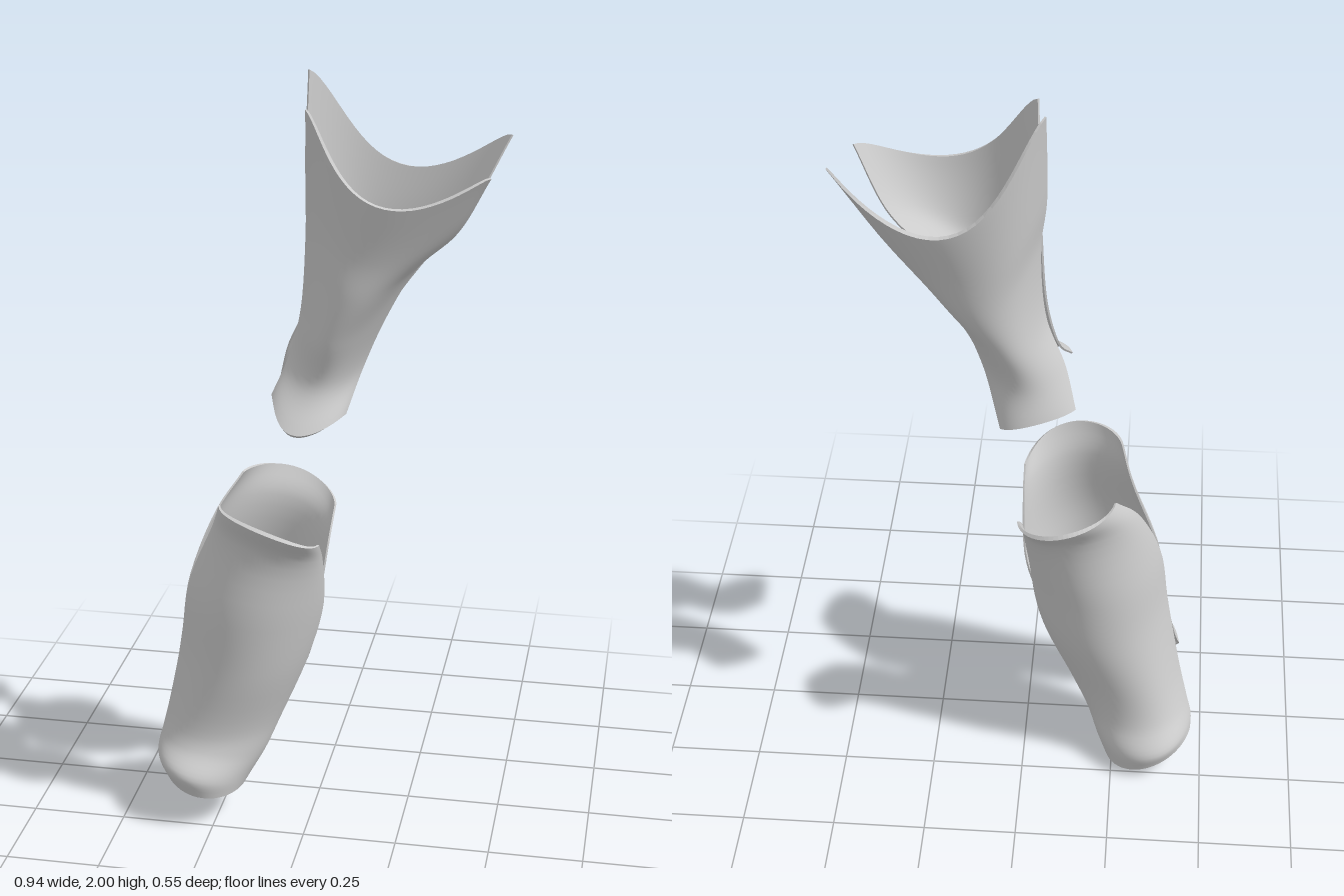
import * as THREE from 'three';
import { mergeGeometries } from 'three/addons/utils/BufferGeometryUtils.js';

const ROWS = 36, COLS = 28, THICK = 0.012;

// Indexed grid surface, rows run downwards and columns run left to right
function gridGeometry(points, flip) {
  const index = [];
  const w = COLS + 1;
  for (let i = 0; i < ROWS; i++) {
    for (let j = 0; j < COLS; j++) {
      const a = i * w + j, b = a + w, c = b + 1, d = a + 1;
      if (flip) index.push(a, c, b, a, d, c);
      else index.push(a, b, c, a, c, d);
    }
  }
  const g = new THREE.BufferGeometry().setFromPoints(points);
  g.setIndex(index);
  g.computeVertexNormals();
  return g;
}

// Curved shell lofted through levels of [left edge, middle, right edge];
// flatness 0 gives elliptic sections, 1 gives sections with sloping sides
function plateGeometry(levels, isBack, flatness) {
  const rails = [0, 1, 2].map(k => new THREE.CatmullRomCurve3(
    levels.map(l => new THREE.Vector3(l[k * 3], l[k * 3 + 1], l[k * 3 + 2]))));
  const outer = [];
  for (let i = 0; i <= ROWS; i++) {
    let [L, M, R] = rails.map(r => r.getPoint(i / ROWS));
    if (isBack) [L, R] = [R, L];
    const bulge = M.clone().sub(L.clone().add(R).multiplyScalar(0.5));
    for (let j = 0; j <= COLS; j++) {
      const t = j / COLS, a = Math.PI * t, s = Math.max(0, Math.sin(a));
      const p = L.clone().lerp(R, THREE.MathUtils.lerp((1 - Math.cos(a)) / 2, t, flatness));
      p.x += bulge.x * s * s;
      p.y += bulge.y * s ** 1.5;
      p.z += bulge.z * s;
      outer.push(p);
    }
  }
  const outside = gridGeometry(outer, false);
  const n = outside.attributes.normal;
  // Inner skin, thinner towards the side edges
  const inner = outer.map((p, k) => {
    const s = Math.sin(Math.PI * (k % (COLS + 1)) / COLS);
    return p.clone().addScaledVector(
      new THREE.Vector3().fromBufferAttribute(n, k), -THICK * (0.4 + 0.6 * s));
  });
  const inside = gridGeometry(inner, true);

  // Narrow rim joining both skins
  const loop = [], w = COLS + 1;
  for (let i = 0; i < ROWS; i++) loop.push(i * w);
  for (let j = 0; j < COLS; j++) loop.push(ROWS * w + j);
  for (let i = ROWS; i > 0; i--) loop.push(i * w + COLS);
  for (let j = COLS; j > 0; j--) loop.push(j);
  const strip = [];
  loop.forEach((a, k) => {
    const b = loop[(k + 1) % loop.length];
    strip.push(outer[b], outer[a], inner[a], outer[b], inner[a], inner[b]);
  });
  const rim = new THREE.BufferGeometry().setFromPoints(strip);
  rim.computeVertexNormals();
  return mergeGeometries([outside.toNonIndexed(), inside.toNonIndexed(), rim]);
}

// Levels from top to bottom: left xyz, middle xyz, right xyz
const PLATES = {
  upperFrontPlate: [
    [-0.02, 1.94, 0.09, 0.17, 1.73, 0.187, 0.44, 1.79, 0.10],
    [-0.03, 1.72, 0.035, 0.13, 1.58, 0.165, 0.355, 1.635, 0.045],
    [-0.035, 1.6, 0.012, 0.1, 1.48, 0.165, 0.25, 1.53, 0.015],
    [-0.05, 1.4, 0.008, 0.05, 1.36, 0.155, 0.175, 1.4, 0.01],
    [-0.08, 1.28, 0.015, 0.02, 1.24, 0.14, 0.12, 1.27, 0.02],
    [-0.11, 1.2, 0.09, -0.03, 1.14, 0.22, 0.09, 1.17, 0.12],
  ],
  upperBackPlate: [
    [-0.05, 2.0, -0.11, 0.17, 1.74, -0.237, 0.47, 1.85, -0.125],
    [-0.05, 1.75, -0.065, 0.13, 1.6, -0.21, 0.37, 1.66, -0.07],
    [-0.035, 1.6, -0.045, 0.1, 1.48, -0.195, 0.26, 1.53, -0.055],
    [-0.05, 1.4, -0.05, 0.04, 1.36, -0.175, 0.17, 1.4, -0.06],
    [-0.1, 1.28, -0.08, 0.0, 1.25, -0.16, 0.11, 1.27, -0.08],
    [-0.13, 1.18, -0.13, -0.03, 1.165, -0.185, 0.06, 1.135, -0.165],
  ],
  lowerFrontPlate: [
    [-0.25, 0.89, 0.11, -0.1, 0.865, 0.235, 0.02, 0.8, 0.12],
    [-0.28, 0.81, 0.055, -0.125, 0.79, 0.19, 0.02, 0.74, 0.07],
    [-0.36, 0.62, 0.005, -0.17, 0.6, 0.2, 0.01, 0.57, 0.003],
    [-0.385, 0.45, 0.005, -0.21, 0.42, 0.2, -0.03, 0.42, 0.01],
    [-0.415, 0.27, 0.045, -0.275, 0.25, 0.205, -0.1, 0.25, 0.05],
    [-0.425, 0.21, 0.08, -0.29, 0.205, 0.225, -0.135, 0.17, 0.09],
    [-0.43, 0.17, 0.11, -0.31, 0.155, 0.275, -0.17, 0.11, 0.12],
    [-0.41, 0.14, 0.13, -0.3, 0.1, 0.265, -0.185, 0.085, 0.14],
  ],
  lowerBackPlate: [
    [-0.24, 0.89, -0.14, -0.11, 0.86, -0.262, 0.02, 0.81, -0.14],
    [-0.3, 0.8, -0.075, -0.125, 0.79, -0.215, 0.015, 0.73, -0.06],
    [-0.365, 0.62, -0.015, -0.18, 0.6, -0.21, 0.0, 0.6, -0.02],
    [-0.39, 0.45, -0.015, -0.22, 0.42, -0.21, -0.03, 0.42, -0.03],
    [-0.43, 0.25, -0.05, -0.3, 0.23, -0.21, -0.12, 0.22, -0.055],
    [-0.455, 0.16, -0.085, -0.33, 0.145, -0.23, -0.17, 0.13, -0.09],
    [-0.47, 0.11, -0.11, -0.35, 0.085, -0.275, -0.2, 0.06, -0.12],
    [-0.47, 0.085, -0.14, -0.35, 0.04, -0.268, -0.23, 0.005, -0.16],
  ],
};

export function createModel() {
  const model = new THREE.Group();
  model.name = 'limbGuardPlates';
  const material = new THREE.MeshStandardMaterial({ color: 0xcccccc, side: THREE.DoubleSide });
  for (const [name, levels] of Object.entries(PLATES)) {
    const flatness = name.startsWith('upper') ? 0.55 : 0.2;
    const mesh = new THREE.Mesh(plateGeometry(levels, name.includes('Back'), flatness), material);
    mesh.name = name;
    model.add(mesh);
  }
  return model;
}
